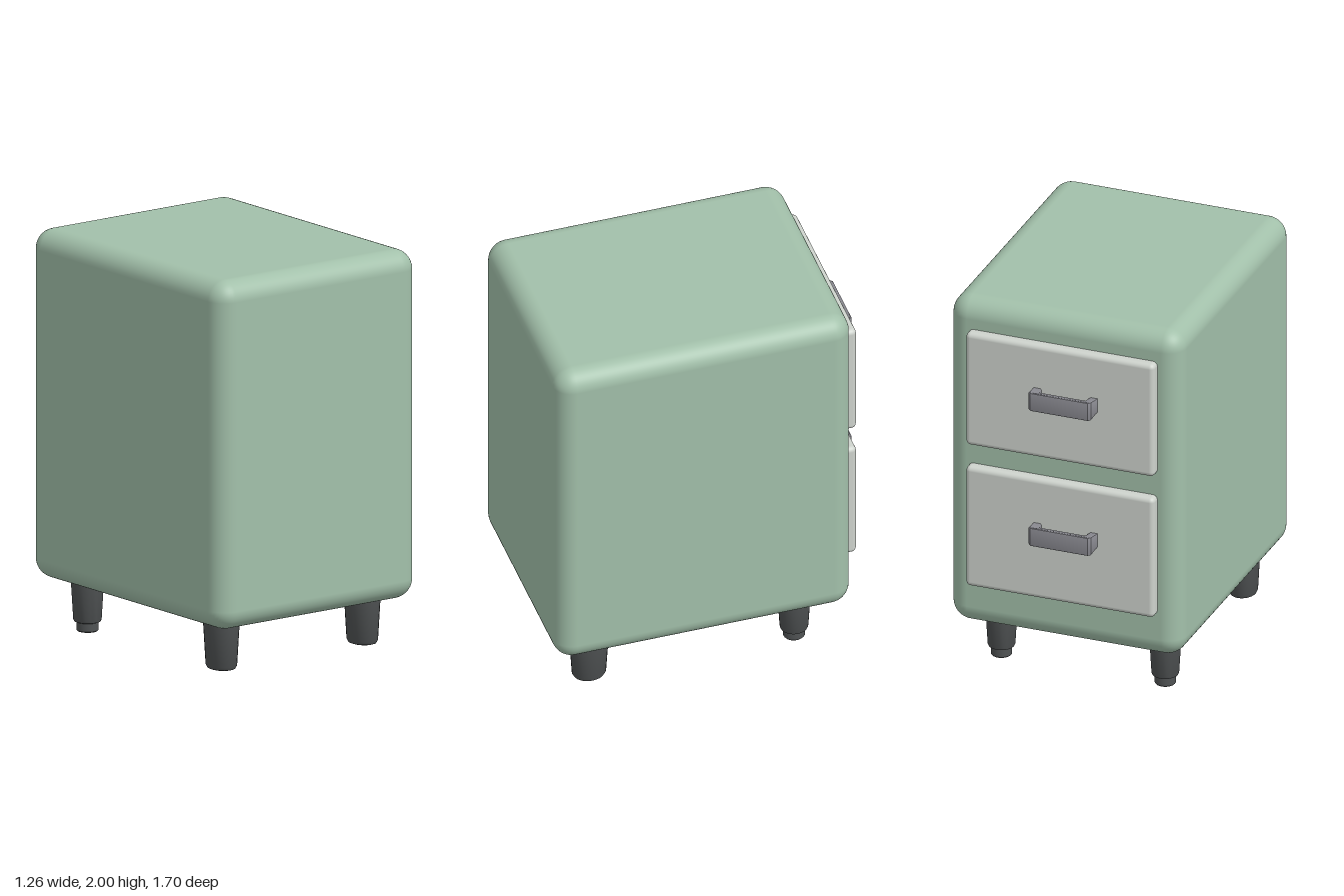
import * as THREE from 'three';
import { RoundedBoxGeometry } from 'three/addons/geometries/RoundedBoxGeometry.js';
import { toCreasedNormals } from 'three/addons/utils/BufferGeometryUtils.js';

const mat = (name, color) => {
  const m = new THREE.MeshStandardMaterial({ color });
  m.name = name;
  return m;
};

// The cabinet stands turned by a few degrees and slightly skewed
const SKEW = new THREE.Matrix4().set(
  1, 0, -0.033, 0,
  0, 1, 0, 0,
  0.0515, 0, 1, 0,
  0, 0, 0, 1
);

// Rounded box given by its limits on each axis
function roundedBox(x0, x1, y0, y1, z0, z1, radius, segments) {
  const g = new RoundedBoxGeometry(x1 - x0, y1 - y0, z1 - z0, segments, radius);
  return g.translate((x0 + x1) / 2, (y0 + y1) / 2, (z0 + z1) / 2);
}

// Turned leg from a [radius, height] profile, listed from bottom to top
function turnedLeg(profile, depthScale) {
  const points = profile.map(([r, y]) => new THREE.Vector2(r, y));
  const g = new THREE.LatheGeometry(points, 24).scale(1, 1, depthScale);
  return toCreasedNormals(g, 0.6);
}

// U-shaped pull whose outer bar is taller than its two posts
function pullHandle() {
  const bevel = 0.006;
  const s = new THREE.Shape();
  [[-0.164, 0], [-0.158, 0.09], [-0.148, 0.1], [0.148, 0.1], [0.158, 0.09], [0.164, 0],
    [0.136, 0], [0.124, 0.067], [-0.124, 0.067], [-0.136, 0]]
    .forEach(([x, y], i) => (i ? s.lineTo(x, y) : s.moveTo(x, y)));
  s.closePath();
  const depth = 0.07 - 2 * bevel;
  const g = new THREE.ExtrudeGeometry(s, {
    depth, bevelEnabled: true, bevelSize: bevel, bevelThickness: bevel, bevelSegments: 2,
  });
  g.translate(0, 0, -depth / 2);
  // Flare the height toward the bar
  const p = g.attributes.position;
  for (let i = 0; i < p.count; i++) {
    const t = THREE.MathUtils.smoothstep(p.getY(i), 0.05, 0.09);
    p.setZ(i, p.getZ(i) * (1 + 0.4 * t));
  }
  g.rotateX(-Math.PI / 2);
  return toCreasedNormals(g, 0.7);
}

export function createModel() {
  const green = mat('sage green', 0xa2c0aa);
  const pale = mat('pale grey', 0xced3cd);
  const metal = mat('handle grey', 0x8b8b92);
  const dark = mat('dark grey', 0x505354);

  const model = new THREE.Group();
  model.name = 'drawerCabinet';
  const add = (name, geometry, material, parent = model) => {
    const mesh = new THREE.Mesh(geometry.applyMatrix4(SKEW), material);
    mesh.name = name;
    parent.add(mesh);
  };

  // Body
  add('cabinetBody', roundedBox(-0.61, 0.61, 0.25, 2, -0.7, 0.817, 0.1, 5), green);

  // Two drawers on the back, each with a pull
  [['upperDrawer', 1.245, 1.85, 1.585], ['lowerDrawer', 0.485, 1.13, 0.857]]
    .forEach(([name, y0, y1, handleY]) => {
      const drawer = new THREE.Group();
      drawer.name = name;
      add('drawerFront', roundedBox(-0.492, 0.498, y0, y1, -0.752, -0.66, 0.025, 3), pale, drawer);
      add('drawerHandle', pullHandle().translate(-0.03, handleY, -0.737), metal, drawer);
      model.add(drawer);
    });

  // Broad front legs with a rounded base; slim rear legs with a hollow foot
  const frontProfile = [[0, 0.015], [0.05, 0.015], [0.063, 0.02], [0.07, 0.035], [0.083, 0.28]];
  const rearProfile = [[0, 0.025], [0.034, 0.025], [0.036, 0.004], [0.04, 0], [0.048, 0],
    [0.052, 0.005], [0.052, 0.045], [0.064, 0.05], [0.068, 0.06], [0.081, 0.28]];
  for (const [side, x] of [['left', 0.423], ['right', -0.437]]) {
    add(side + 'FrontLeg', turnedLeg(frontProfile, 1.22).translate(x, 0, 0.6), dark);
    add(side + 'RearLeg', turnedLeg(rearProfile, 1.04).translate(x, 0, -0.452), dark);
  }

  return model;
}
